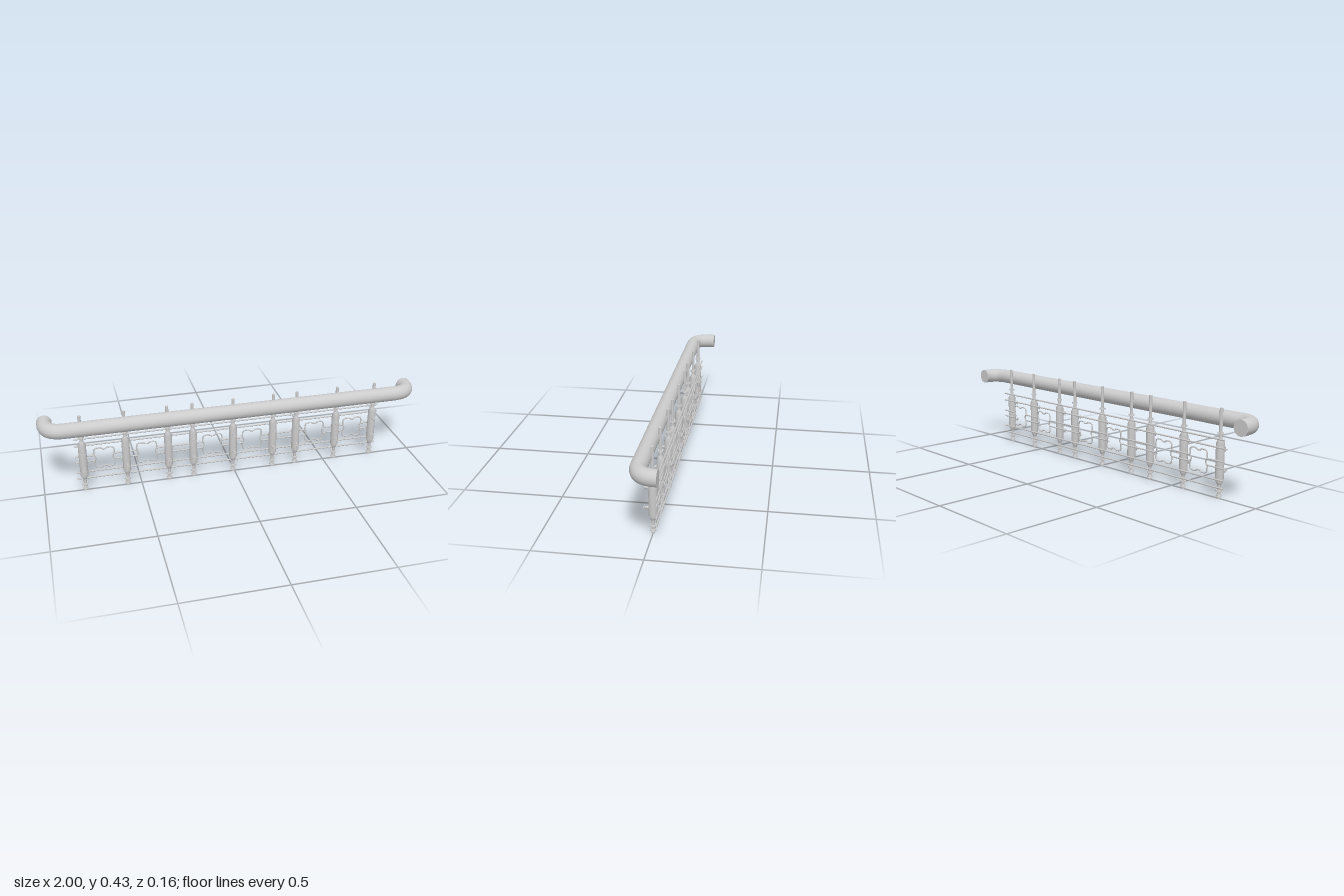
import * as THREE from 'three';

const material = new THREE.MeshStandardMaterial({ color: 0xcccccc });
const V = (x, y, z) => new THREE.Vector3(x, y, z);

function add(parent, name, geometry, x = 0, y = 0, z = 0) {
  const mesh = new THREE.Mesh(geometry, material);
  mesh.name = name;
  mesh.position.set(x, y, z);
  parent.add(mesh);
  return mesh;
}

// Horizontal bar along x
function bar(parent, name, x0, x1, y, z, r) {
  add(parent, name, new THREE.CylinderGeometry(r, r, x1 - x0, 8), (x0 + x1) / 2, y, z).rotation.z = Math.PI / 2;
}

// Thick handrail whose ends turn to the back
function handrail() {
  const group = new THREE.Group();
  group.name = 'handrail';
  const y = 0.373, z = 0.0405, r = 0.0385, ex = 0.9615, backL = -0.08, backR = -0.057;
  const path = new THREE.CurvePath();
  path.add(new THREE.LineCurve3(V(-ex, y, backL), V(-ex, y, -0.05)));
  path.add(new THREE.QuadraticBezierCurve3(V(-ex, y, -0.05), V(-ex, y, z), V(-0.87, y, z)));
  path.add(new THREE.LineCurve3(V(-0.87, y, z), V(0.86, y, z)));
  path.add(new THREE.QuadraticBezierCurve3(V(0.86, y, z), V(ex, y, z), V(ex, y, -0.045)));
  path.add(new THREE.LineCurve3(V(ex, y, -0.045), V(ex, y, backR)));
  add(group, 'rail', new THREE.TubeGeometry(path, 200, r, 18));
  for (const [x, end] of [[-ex, backL], [ex, backR]]) {
    add(group, 'railEnd', new THREE.CircleGeometry(r, 18), x, y, end).rotation.y = Math.PI;
  }
  return group;
}

// Turned post with collars, a foot nut and two front clamps
function post(x) {
  const group = new THREE.Group();
  group.name = 'post';
  group.position.x = x;
  const profile = [[0, 0], [0.008, 0], [0.008, 0], [0.008, 0.062], [0.011, 0.07], [0.0205, 0.09],
    [0.0205, 0.263], [0.011, 0.283], [0.008, 0.293], [0.008, 0.427], [0.008, 0.427], [0, 0.427]];
  const points = profile.map(([r, y]) => new THREE.Vector2(r, y));
  add(group, 'shaft', new THREE.LatheGeometry(points, 16));
  for (const y of [0.036, 0.041, 0.307, 0.312]) {
    add(group, 'collar', new THREE.CylinderGeometry(0.015, 0.015, 0.003, 16), 0, y, 0);
  }
  add(group, 'footNut', new THREE.CylinderGeometry(0.01, 0.0145, 0.012, 12), 0, 0.016, 0);
  add(group, 'footPin', new THREE.CylinderGeometry(0.004, 0.004, 0.026, 8), 0, 0.017, 0).rotation.x = Math.PI / 2;
  for (const y of [0.127, 0.227]) {
    // [name, radius, length, z centre]
    for (const [name, r, length, z] of [['clampBase', 0.01, 0.006, 0.02],
      ['clampNut', 0.005, 0.014, 0.028], ['clampPin', 0.0025, 0.027, 0.032]]) {
      add(group, name, new THREE.CylinderGeometry(r, r, length, 12), 0, y, z).rotation.x = Math.PI / 2;
    }
    // Crossed handle
    add(group, 'clampHandle', new THREE.BoxGeometry(0.005, 0.024, 0.002), 0, y, 0.039);
    add(group, 'clampHandle', new THREE.BoxGeometry(0.024, 0.005, 0.002), 0, y, 0.039);
  }
  return group;
}

// Rounded square frame, notched inward at the middle of every side
function ornament(x, y, z) {
  const group = new THREE.Group();
  group.name = 'ornament';
  group.position.set(x, y, z);
  const quarter = [[0.046, 0.009], [0.051, 0.015], [0.051, 0.042], [0.048, 0.05],
    [0.04, 0.0545], [0.015, 0.0545], [0.009, 0.049]];
  const points = [];
  for (const [sx, sy] of [[1, 1], [-1, 1], [-1, -1], [1, -1]]) {
    const corner = quarter.map(([px, py]) => V(px * sx, py * sy, 0));
    if (sx * sy < 0) corner.reverse();
    points.push(...corner);
  }
  const curve = new THREE.CatmullRomCurve3(points, true, 'centripetal');
  add(group, 'frame', new THREE.TubeGeometry(curve, 112, 0.0035, 6, true));
  return group;
}

export function createModel() {
  const model = new THREE.Group();
  model.name = 'railing';
  model.add(handrail());

  const posts = [-0.791, -0.572, -0.353, -0.222, -0.008, 0.209, 0.337, 0.561, 0.77];
  for (const x of posts) model.add(post(x));

  // Full-length bars along the back of the posts
  const left = -0.83, right = 0.808, z = -0.0205, middle = 0.168;
  for (const y of [0.286, 0.247, 0.094, 0.057]) bar(model, 'longBar', left, right, y, z, 0.0042);

  // Frames in the wide bays, joined by pairs of short bars
  let start = left;
  for (let i = 0; i < posts.length - 1; i++) {
    if (posts[i + 1] - posts[i] < 0.15) continue;
    const x = (posts[i] + posts[i + 1]) / 2;
    model.add(ornament(x, middle, z));
    for (const dy of [-0.016, 0.016]) bar(model, 'shortBar', start, x - 0.051, middle + dy, z, 0.004);
    start = x + 0.051;
  }
  for (const dy of [-0.016, 0.016]) bar(model, 'shortBar', start, right, middle + dy, z, 0.004);
  return model;
}
